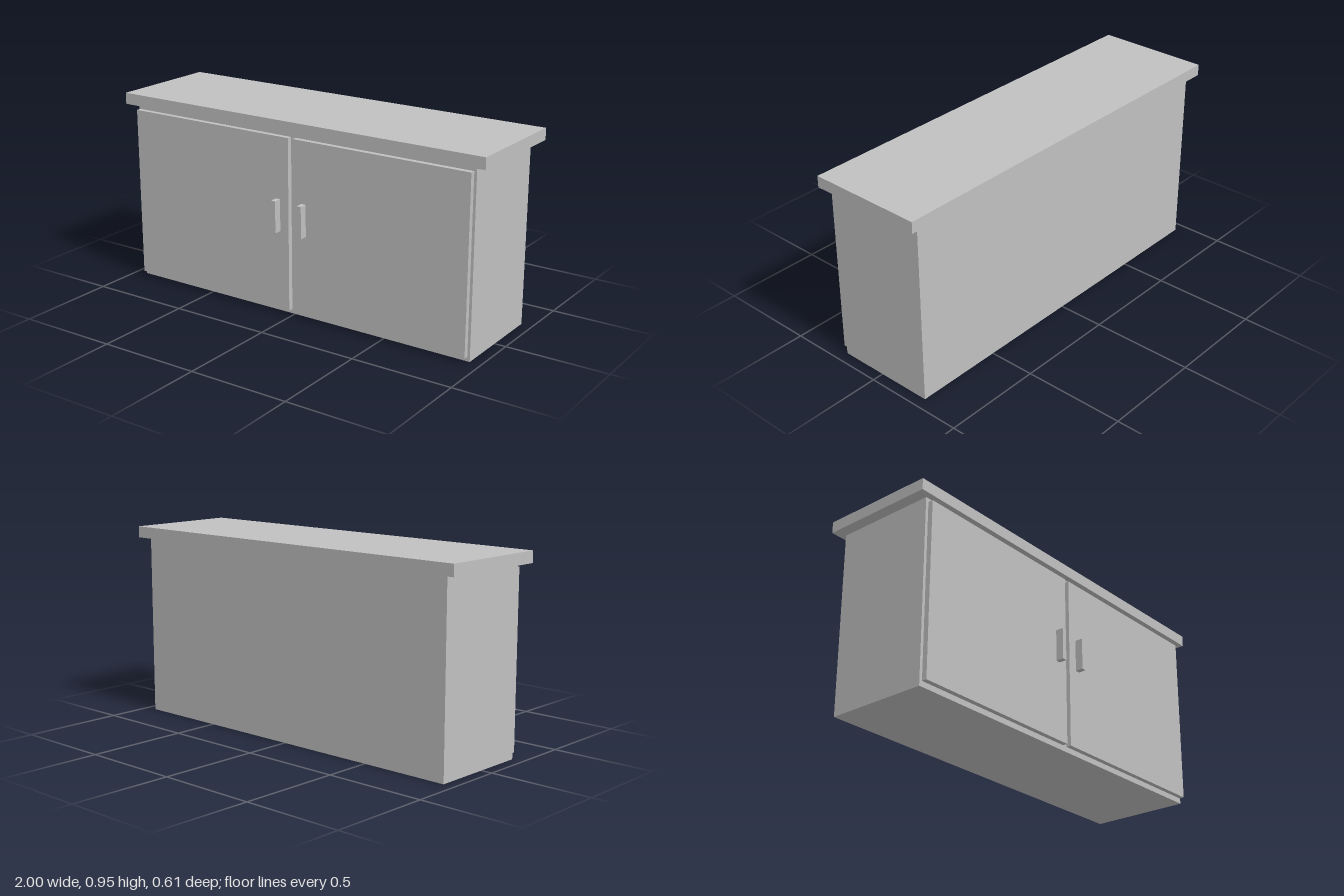
import * as THREE from 'three';

export function createModel() {
  const model = new THREE.Group();
  model.name = 'cabinet';

  const grey = new THREE.MeshStandardMaterial({ color: 0xc0c0c0 });
  grey.name = 'light grey';

  // Box given by its limits on each axis
  const box = (name, [x0, x1], [y0, y1], [z0, z1]) => {
    const mesh = new THREE.Mesh(new THREE.BoxGeometry(x1 - x0, y1 - y0, z1 - z0), grey);
    mesh.position.set((x0 + x1) / 2, (y0 + y1) / 2, (z0 + z1) / 2);
    mesh.name = name;
    model.add(mesh);
  };

  // Carcass and overhanging worktop
  box('carcass', [-0.944, 0.944], [0, 0.897], [-0.271, 0.235]);
  box('worktop', [-1, 1], [0.897, 0.953], [-0.302, 0.267]);

  // Pair of doors, set just off the carcass, each with a bar handle
  for (const [side, s] of [['left', 1], ['right', -1]]) {
    const span = (inner, outer) => (s > 0 ? [inner, outer] : [-outer, -inner]);
    box(side + 'Door', span(0.013, 0.933), [0.024, 0.875], [0.239, 0.264]);
    box(side + 'Handle', span(0.061, 0.085), [0.416, 0.573], [0.264, 0.303]);
  }

  return model;
}
